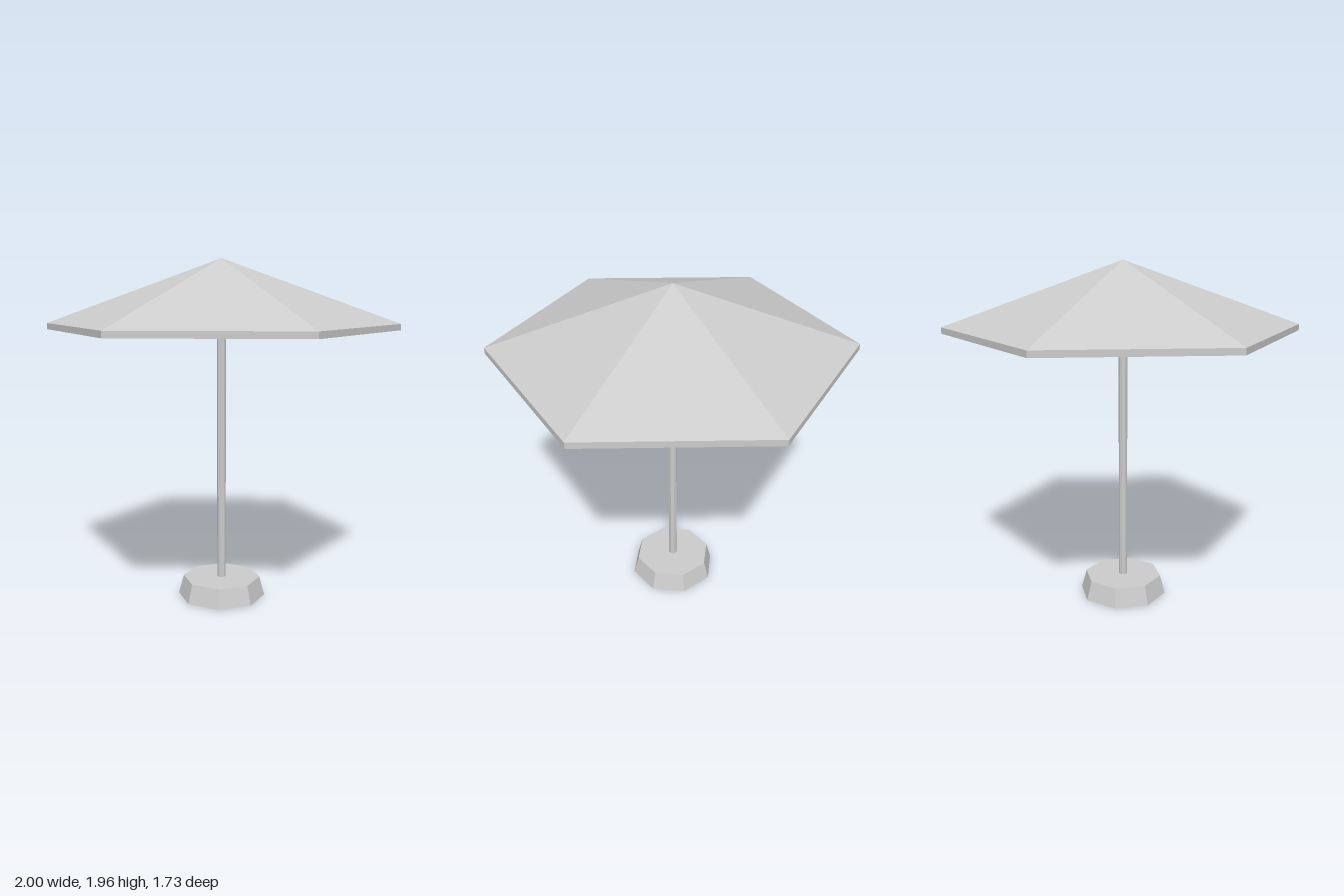
import * as THREE from 'three';

export function createModel() {
  const group = new THREE.Group();
  const grey = new THREE.MeshStandardMaterial({ color: 0xcccccc });
  grey.name = 'lightGrey';
  grey.flatShading = true;

  const add = (name, geometry, y = 0) => {
    const mesh = new THREE.Mesh(geometry, grey);
    mesh.name = name;
    mesh.position.y = y;
    group.add(mesh);
  };

  // Six-sided canopy: hollow underside, short vertical rim, pointed top
  const profile = [[0, 1.92], [1, 1.565], [1, 1.6], [0, 1.96]]
    .map(([r, y]) => new THREE.Vector2(r, y));
  add('canopy', new THREE.LatheGeometry(profile, 6, Math.PI / 2));

  // Pole, ending a little below the canopy peak
  const poleBottom = 0.05, poleTop = 1.76;
  add('pole', new THREE.CylinderGeometry(0.025, 0.025, poleTop - poleBottom, 8),
    (poleTop + poleBottom) / 2);

  // Tapered eight-sided foot
  add('base', new THREE.CylinderGeometry(0.225, 0.255, 0.11, 8), 0.055);

  return group;
}
